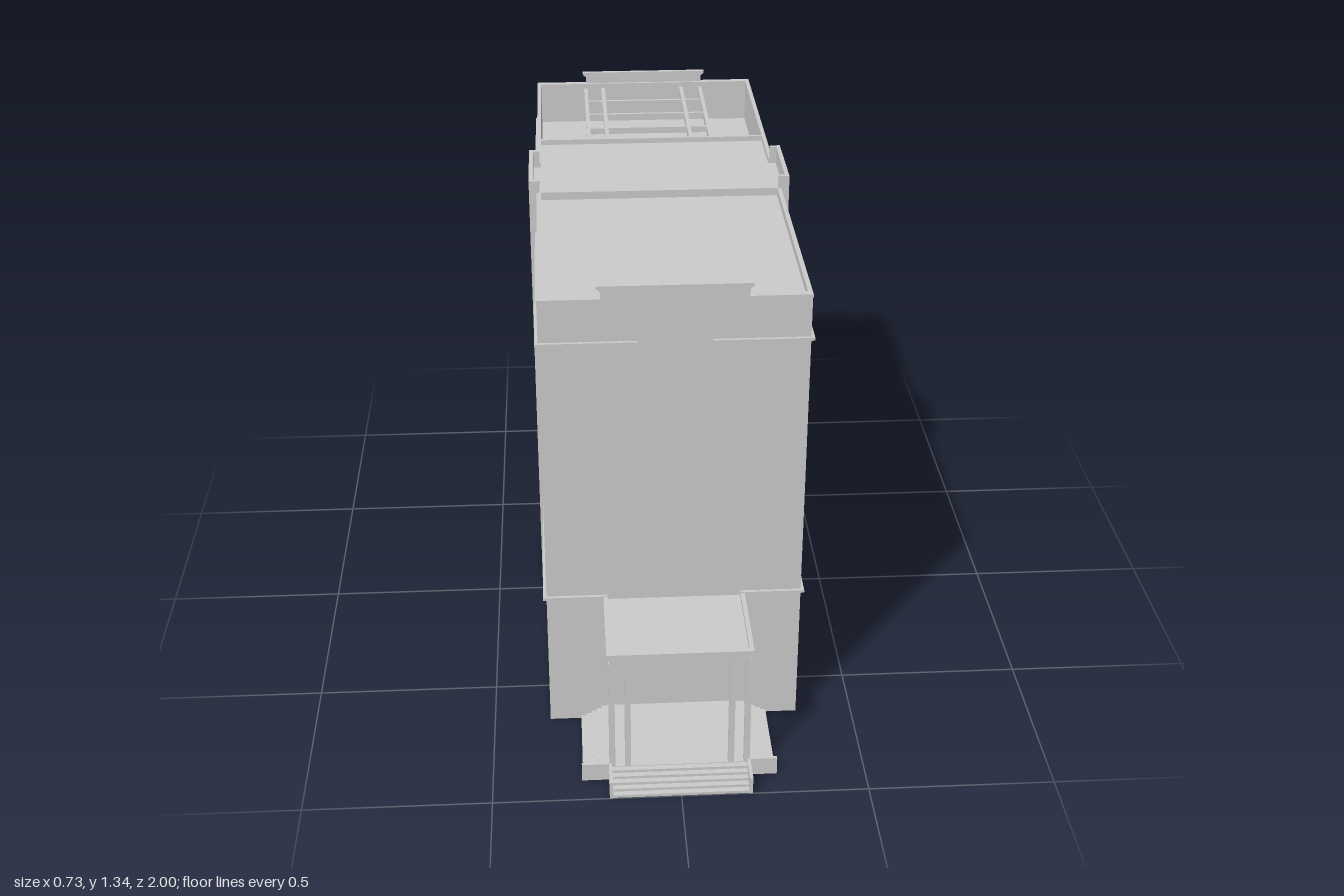
import * as THREE from 'three';

const mat = new THREE.MeshStandardMaterial({ color: 0xcccccc, flatShading: true, side: THREE.DoubleSide });

export function createModel() {
  const root = new THREE.Group();

  const add = (name, geo, parent = root) => {
    const m = new THREE.Mesh(geo, mat);
    m.name = name;
    parent.add(m);
    return m;
  };
  // box given by its min and max corners
  const box = (name, x0, x1, y0, y1, z0, z1, parent) => {
    const g = new THREE.BoxGeometry(x1 - x0, y1 - y0, z1 - z0);
    g.translate((x0 + x1) / 2, (y0 + y1) / 2, (z0 + z1) / 2);
    return add(name, g, parent);
  };
  // the same box on both sides of x = 0
  const pair = (name, x0, x1, y0, y1, z0, z1, parent) => {
    box(name + 'Left', x0, x1, y0, y1, z0, z1, parent);
    box(name + 'Right', -x1, -x0, y0, y1, z0, z1, parent);
  };

  const W = 0.345, TW = 0.367, F = 0.655, B = -0.99, T0 = -0.29, T1 = -0.045, H = 1.3, TOP = 1.335, t = 0.012;

  // Outer walls: plan outline with the two side bays, open underneath
  const plan = (d) => {
    const right = [[W - d, F - d], [W - d, T1 - d], [TW - d, T1 - d], [TW - d, T0 + d], [W - d, T0 + d], [W - d, B + d]];
    const left = right.map(([x, z]) => [-x, z]).reverse();
    return [...right, ...left].map(([x, z]) => new THREE.Vector2(x, -z));
  };
  const shape = new THREE.Shape(plan(0));
  shape.holes.push(new THREE.Path(plan(t)));
  const walls = new THREE.ExtrudeGeometry(shape, { depth: H, bevelEnabled: false });
  walls.rotateX(-Math.PI / 2);
  add('outerWalls', walls);

  // Raised tops of the side bays, with short returns
  const bays = new THREE.Group();
  bays.name = 'sideBayParapets';
  root.add(bays);
  pair('bayParapet', TW - t, TW, H, TOP, T0, T1, bays);
  for (const z of [T0, T1 - t]) pair('bayReturn', W - 0.008, TW - t, H, TOP, z, z + t, bays);

  // Roof decks, low divider walls and the sunken rear well
  box('frontRoof', -W + t, W - t, 1.27, 1.278, T1, F - t);
  box('middleRoof', -W + t, W - t, 1.277, 1.285, -0.47, T1);
  pair('bayRoof', W - t, TW - t, 1.277, 1.285, T0 + t, T1 - t);
  box('roofDivider', -W, W, 1.27, H, T1 - t, T1);
  box('wellFrontWall', -W + t, W - t, 1.17, H, -0.474, -0.464);
  box('wellFloor', -W + t, W - t, 1.165, 1.173, B + t, -0.47);

  // Beam grid over the well
  const grid = new THREE.Group();
  grid.name = 'roofBeams';
  root.add(grid);
  for (const x of [-0.188, -0.132, 0.122, 0.183])
    box('longBeam', x - 0.006, x + 0.006, 1.262, 1.285, B + t, -0.47, grid);
  for (const z of [-0.86, -0.735, -0.61])
    box('crossBeam', -0.188, 0.183, 1.264, 1.283, z - 0.005, z + 0.005, grid);

  // Thin string courses on all faces
  const courses = new THREE.Group();
  courses.name = 'stringCourses';
  root.add(courses);
  const p = 0.009;
  for (const y of [0.41, 1.175]) {
    pair('sideCourse', W, W + p, y - 0.004, y + 0.004, T1, F + p, courses);
    pair('sideCourse', W, W + p, y - 0.004, y + 0.004, B - p, T0, courses);
  }
  pair('frontLowerCourse', 0.18, W, 0.406, 0.414, F, F + p, courses);
  box('backLowerCourse', -W, W, 0.406, 0.414, B - p, B, courses);
  for (const z of [F, B - p]) {
    pair('upperCourse', 0.095, W, 1.171, 1.179, z, z + p, courses);
    pair('coping', 0.16, W, 1.292, H, z, z + p, courses);
  }

  // Raised centre parapet plates, front and back
  const plate = new THREE.Shape([
    [-0.187, 1.28], [0.187, 1.28], [0.187, 1.32], [0.197, 1.328], [0.197, TOP],
    [-0.197, TOP], [-0.197, 1.328], [-0.187, 1.32],
  ].map((q) => new THREE.Vector2(...q)));
  for (const [name, z] of [['frontParapet', F - 0.004], ['backParapet', B - p]]) {
    const g = new THREE.ExtrudeGeometry(plate, { depth: 0.013, bevelEnabled: false });
    add(name, g).position.z = z;
  }

  // Entrance porch: roof with a low rim, and twin front posts
  const porch = new THREE.Group();
  porch.name = 'porch';
  root.add(porch);
  box('porchRoof', -0.185, 0.185, 0.375, 0.4, F, 0.922, porch);
  pair('porchRim', 0.18, 0.192, 0.395, 0.412, F, 0.93, porch);
  box('porchFrontRim', -0.18, 0.18, 0.395, 0.412, 0.918, 0.93, porch);
  for (const x of [0.13, 0.172])
    pair('post', x, x + 0.016, 0.04, 0.376, 0.906, 0.92, porch);

  // Landing with steps to the front and both sides
  const steps = new THREE.Group();
  steps.name = 'steps';
  root.add(steps);
  box('landing', -0.187, 0.187, 0, 0.042, F, 0.92, steps);
  const n = 5;
  for (let i = 0; i < n; i++) {
    const y0 = (i * 0.04) / n, y1 = ((i + 1) * 0.04) / n, k = (n - i) / n;
    box('frontStep', -0.183, 0.183, y0, y1, 0.915, 0.92 + 0.078 * k, steps);
    pair('sideStep', 0.185, 0.187 + 0.072 * k, y0, y1, F, 0.914, steps);
  }

  // Corner cheek walls
  pair('frontCheek', 0.181, 0.19, 0, 0.052, 0.914, 1.0, steps);
  pair('sideCheek', 0.19, 0.262, 0, 0.052, 0.914, 0.923, steps);

  return root;
}
